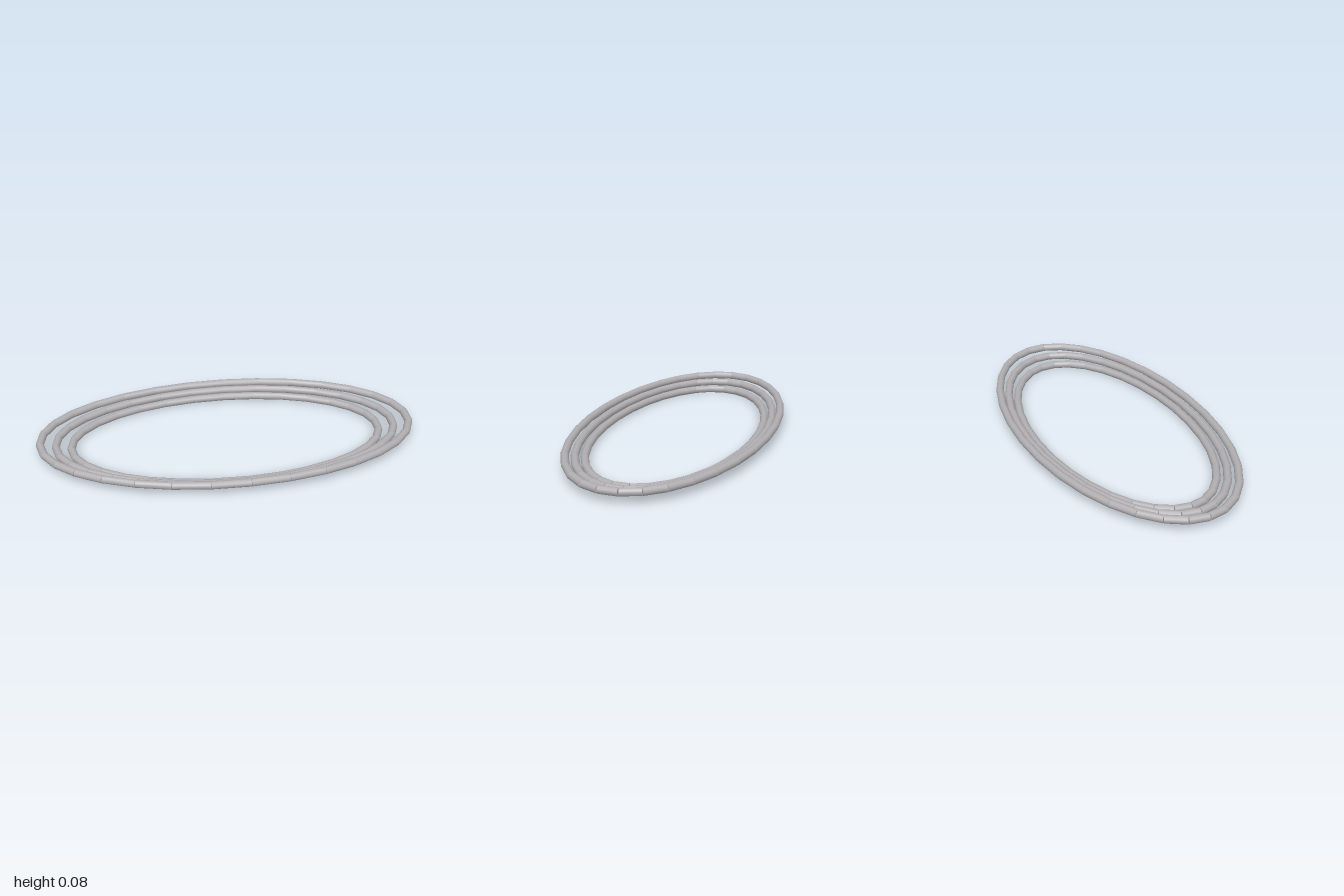
import * as THREE from 'three';

const SEGMENTS = 31;
const TUBE_RADIUS = 0.0205;

// One elliptical hoop made of straight capped rods laid end to end
function makeHoop(name, rx, rz, y, material) {
  const hoop = new THREE.Group();
  hoop.name = name;
  const up = new THREE.Vector3(0, 1, 0);
  const pointAt = (i) => {
    const angle = Math.PI + (i / SEGMENTS) * Math.PI * 2;
    return new THREE.Vector3(rx * Math.cos(angle), y, rz * Math.sin(angle));
  };
  for (let i = 0; i < SEGMENTS; i++) {
    const a = pointAt(i);
    const b = pointAt(i + 1);
    const dir = b.clone().sub(a);
    const length = dir.length();
    const rod = new THREE.Mesh(
      new THREE.CylinderGeometry(TUBE_RADIUS, TUBE_RADIUS, length, 12),
      material
    );
    rod.name = 'rod';
    rod.position.copy(a).add(b).multiplyScalar(0.5);
    rod.quaternion.setFromUnitVectors(up, dir.normalize());
    hoop.add(rod);
  }
  return hoop;
}

export function createModel() {
  const model = new THREE.Group();
  model.name = 'ovalHoops';
  const metal = new THREE.MeshStandardMaterial({ color: 0xb0aeb0 });
  metal.name = 'grey metal';

  // Three nested hoops, each one lower and smaller than the last
  model.add(makeHoop('outerHoop', 0.98, 0.49, 0.0615, metal));
  model.add(makeHoop('middleHoop', 0.90, 0.45, 0.041, metal));
  model.add(makeHoop('innerHoop', 0.82, 0.41, 0.0205, metal));
  return model;
}
